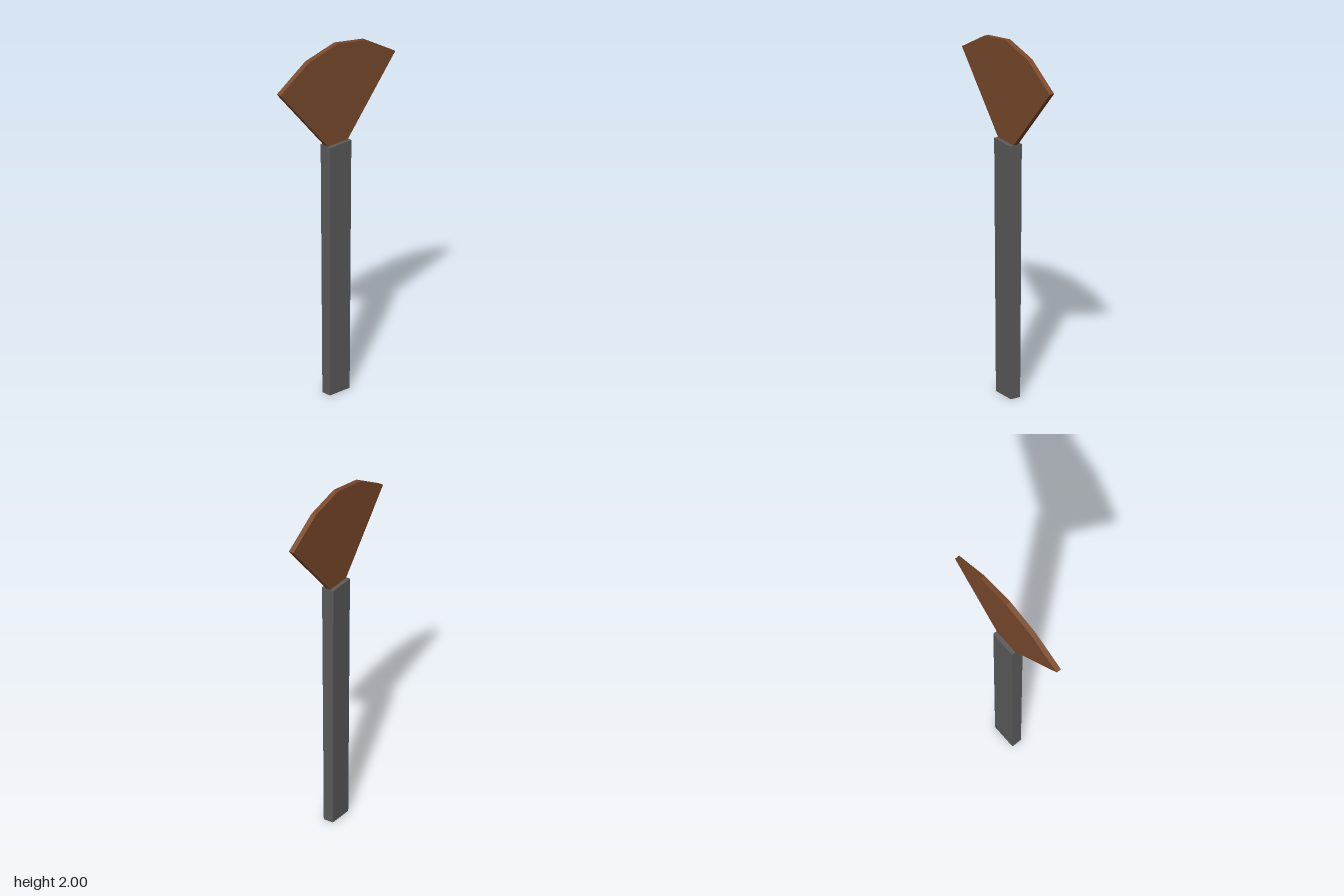
import * as THREE from 'three';

export function createModel() {
  const group = new THREE.Group();
  const brown = new THREE.MeshStandardMaterial({ color: 0x7b4a2c });
  brown.name = 'brown wood';
  const grey = new THREE.MeshStandardMaterial({ color: 0x5c5c5c });
  grey.name = 'dark grey';

  // Handle: a long bar, slightly narrower towards the foot
  const handleHeight = 1.43;
  const handleGeo = new THREE.BoxGeometry(2, handleHeight, 2);
  handleGeo.translate(0, handleHeight / 2, 0);
  const pos = handleGeo.attributes.position;
  for (let i = 0; i < pos.count; i++) {
    const t = pos.getY(i) / handleHeight;
    pos.setX(i, pos.getX(i) * THREE.MathUtils.lerp(0.071, 0.077, t));
    pos.setZ(i, pos.getZ(i) * THREE.MathUtils.lerp(0.029, 0.036, t));
  }
  handleGeo.computeVertexNormals();
  const handle = new THREE.Mesh(handleGeo, grey);
  handle.name = 'handle';
  group.add(handle);

  // Fan-shaped head: flat plate with a four-segment rounded top edge
  const thickness = 0.028;
  const half = [[0.073, handleHeight], [0.415, 1.83], [0.208, 1.957]];
  const mirrored = half.map(([x, y]) => [-x, y]).reverse();
  const outline = [...half, [0, 2], ...mirrored].map(([x, y]) => new THREE.Vector2(x, y));
  const headGeo = new THREE.ExtrudeGeometry(new THREE.Shape(outline), { depth: thickness, bevelEnabled: false });
  headGeo.translate(0, 0, -thickness / 2);
  const head = new THREE.Mesh(headGeo, brown);
  head.name = 'fanHead';
  group.add(head);

  return group;
}
